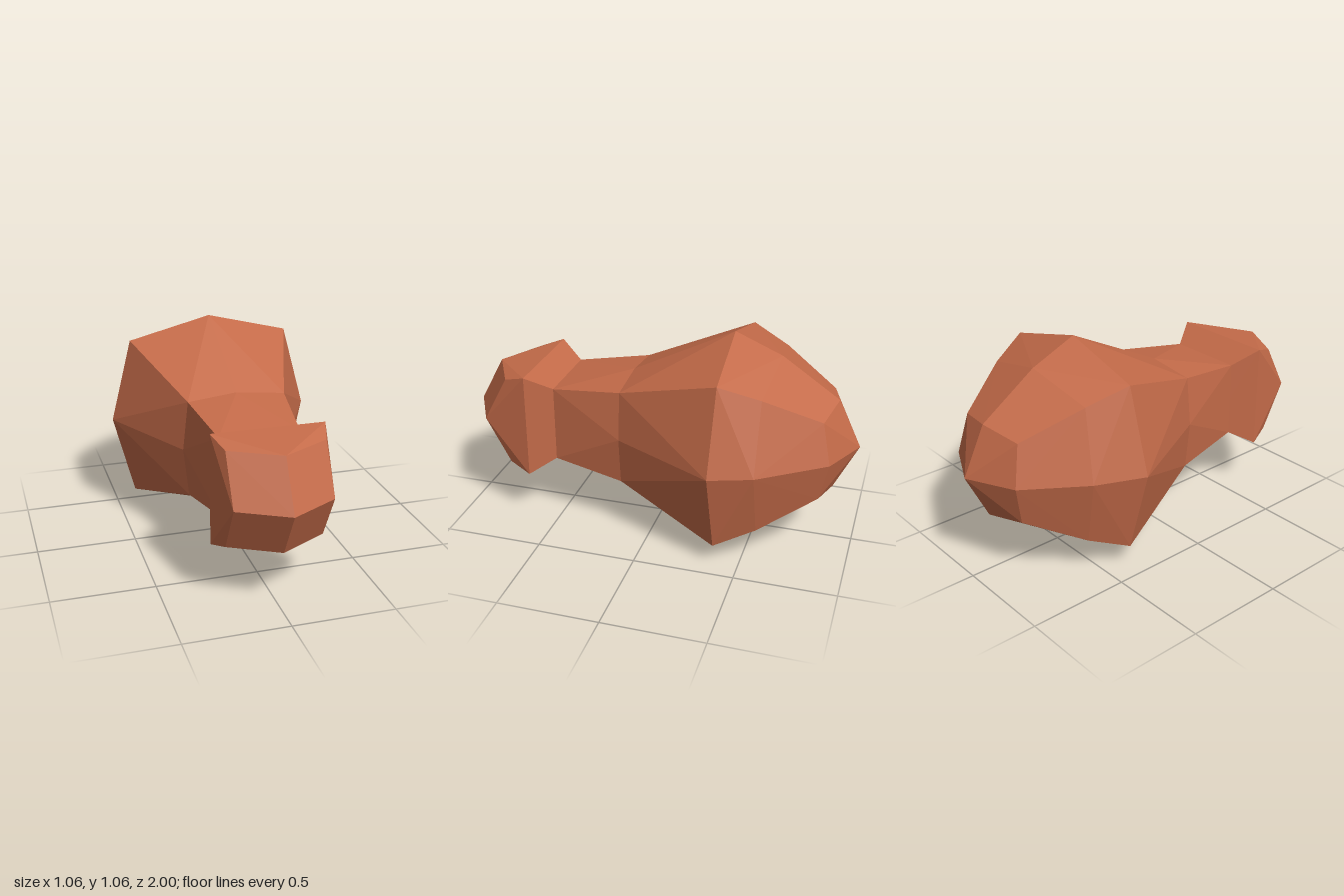
import * as THREE from 'three';

const CENTRE_Y = 0.533;

// Eight points round the z axis: four edge middles alternating with four corners
function ring({ z, mid, corner = mid, cornerZ = z, left = mid, leftZ = z }) {
  const points = [];
  for (let i = 0; i < 8; i++) {
    const a = (i * Math.PI) / 4;
    const sx = Math.sign(Math.round(Math.cos(a) * 10));
    const sy = Math.sign(Math.round(Math.sin(a) * 10));
    const isCorner = i % 2 === 1;
    const r = isCorner ? corner : i === 0 ? left : mid;
    const pz = isCorner ? cornerZ : i === 0 ? leftZ : z;
    points.push(new THREE.Vector3(sx * r, CENTRE_Y + sy * r, pz));
  }
  return points;
}

// Faceted skin over rings listed from front to back
function loft(specs) {
  const rings = specs.map(ring);
  const positions = [];
  const triangle = (a, b, c) => {
    if (a.equals(b) || b.equals(c) || a.equals(c)) return;
    for (const p of [a, b, c]) positions.push(p.x, p.y, p.z);
  };
  const reach = (p, q) => Math.hypot(p.x + q.x, p.y + q.y - 2 * CENTRE_Y);
  for (let k = 0; k < rings.length - 1; k++) {
    for (let j = 0; j < 8; j++) {
      const n = (j + 1) % 8;
      const a = rings[k][j], b = rings[k + 1][j], c = rings[k + 1][n], d = rings[k][n];
      // fold each panel along its outer diagonal
      if (reach(a, c) >= reach(b, d)) {
        triangle(a, b, c);
        triangle(a, c, d);
      } else {
        triangle(a, b, d);
        triangle(b, c, d);
      }
    }
  }
  const geometry = new THREE.BufferGeometry();
  geometry.setAttribute('position', new THREE.Float32BufferAttribute(positions, 3));
  geometry.computeVertexNormals();
  return geometry;
}

export function createModel() {
  const group = new THREE.Group();
  group.name = 'facetedClub';
  const clay = new THREE.MeshStandardMaterial({ color: 0xc46b49, flatShading: true });
  clay.name = 'terracotta';

  // Rings shared by neighbouring parts
  const neckFront = { z: 0.51, mid: 0.195 };
  const neckBack = { z: 0.145, mid: 0.272, corner: 0.245 };

  const parts = {
    // Pointed square knob at the front
    knob: [
      { z: 1, mid: 0 },
      { z: 0.875, mid: 0.232, cornerZ: 0.75 },
      { z: 0.635, mid: 0.27 },
      neckFront,
    ],
    neck: [neckFront, neckBack],
    // Swollen body closing to a blunt point at the back
    body: [
      neckBack,
      { z: -0.365, mid: 0.53, corner: 0.421, cornerZ: -0.377 },
      { z: -0.6, mid: 0.43, corner: 0.345, cornerZ: -0.57, left: 0.46, leftZ: -0.57 },
      { z: -0.885, mid: 0.236, corner: 0.203, cornerZ: -0.84 },
      { z: -1, mid: 0 },
    ],
  };
  for (const [name, specs] of Object.entries(parts)) {
    const mesh = new THREE.Mesh(loft(specs), clay);
    mesh.name = name;
    group.add(mesh);
  }
  return group;
}
